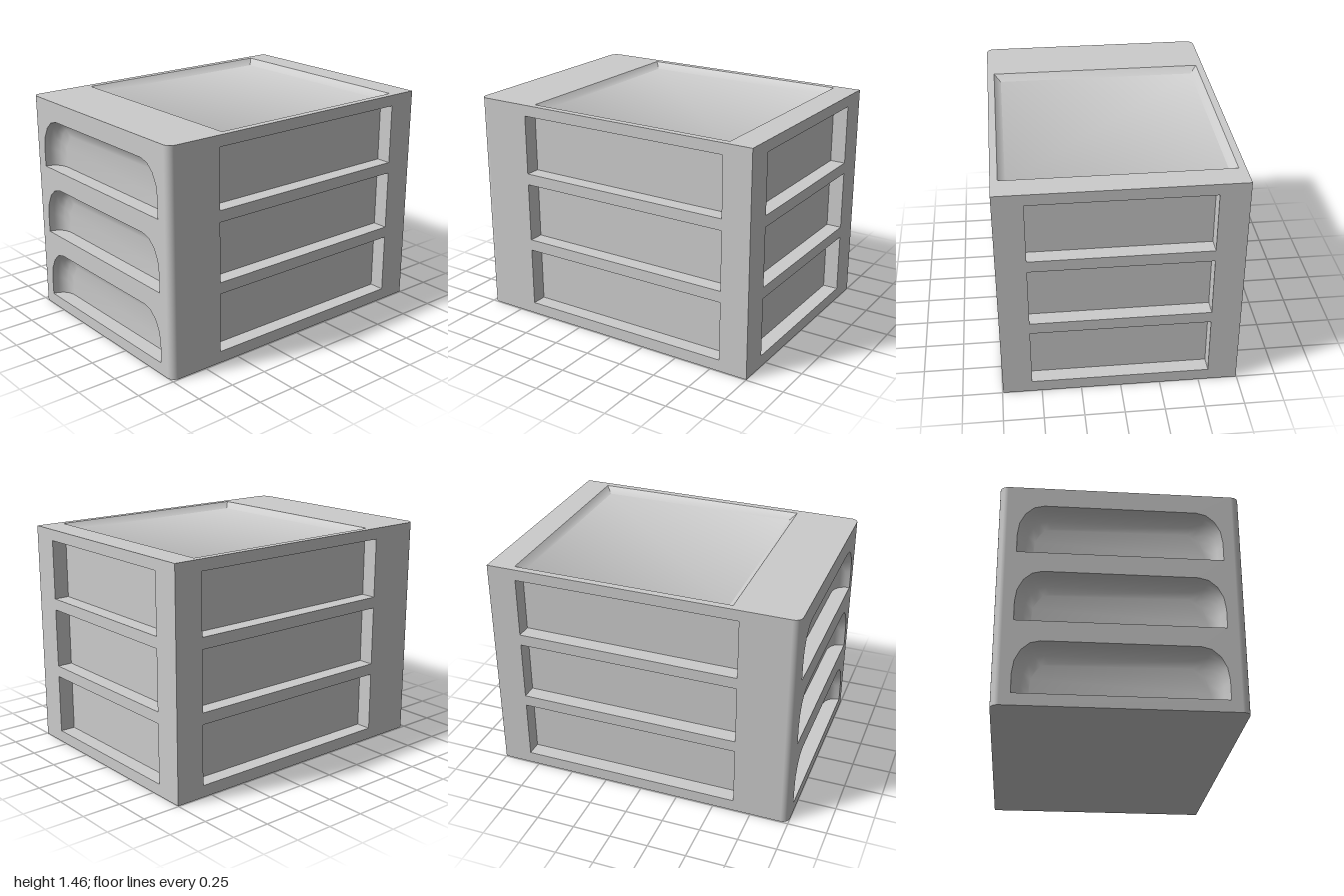
import * as THREE from 'three';
import { mergeGeometries, toCreasedNormals } from 'three/addons/utils/BufferGeometryUtils.js';

const W = 0.745, H = 1.46, R = 0.05; // half width, height, front corner radius
const ROWS = [0.076, 0.538, 1.0];    // bottoms of the three drawer rows
const material = new THREE.MeshStandardMaterial({ color: 0xcccccc });

const rect = (x0, y0, x1, y1) => [[x0, y0], [x1, y0], [x1, y1], [x0, y1]]
  .map(([x, y]) => new THREE.Vector2(x, y));

// Rectangle shrunk on all sides by s
const rectOutline = (x0, y0, x1, y1) => s => rect(x0 + s, y0 + s, x1 - s, y1 - s);

// Drawer grip: flat floor, rounded upper corners; s shrinks sides and top
const gripOutline = y0 => s => {
  const w = 0.63 - s, top = y0 + 0.332 - s, rx = 0.16 - s * 0.5, ry = 0.21 - s * 0.5;
  const pts = [new THREE.Vector2(-w, y0), new THREE.Vector2(w, y0)];
  for (const side of [1, -1]) {
    for (let i = 0; i <= 4; i++) {
      const a = (side > 0 ? i : 4 - i) * Math.PI / 8;
      pts.push(new THREE.Vector2(side * (w - rx + rx * Math.cos(a)), top - ry + ry * Math.sin(a)));
    }
  }
  return pts;
};

// Recess going down -z: walls through the [depth, inset] levels, closed by a flat floor
function recessGeometry(outline, levels) {
  const rings = levels.map(([d, s]) => outline(s).map(p => [p.x, p.y, -d]));
  const pos = [];
  for (let k = 0; k < rings.length - 1; k++) {
    const n = rings[k].length;
    for (let i = 0; i < n; i++) {
      const j = (i + 1) % n;
      const a = rings[k][i], b = rings[k][j], c = rings[k + 1][j], d = rings[k + 1][i];
      pos.push(...a, ...b, ...c, ...a, ...c, ...d);
    }
  }
  const walls = new THREE.BufferGeometry();
  walls.setAttribute('position', new THREE.Float32BufferAttribute(pos, 3));
  const [depth, inset] = levels[levels.length - 1];
  const floor = new THREE.ShapeGeometry(new THREE.Shape(outline(inset))).toNonIndexed();
  floor.translate(0, 0, -depth);
  floor.deleteAttribute('uv');
  floor.deleteAttribute('normal');
  return toCreasedNormals(mergeGeometries([walls, floor]), 0.75);
}

function addMesh(parent, name, geometry) {
  const mesh = new THREE.Mesh(geometry, material);
  mesh.name = name;
  parent.add(mesh);
  return mesh;
}

// Flat panel facing +z with recesses sunk into it
function panel(name, points, outlines, levels, recessName) {
  const group = new THREE.Group();
  group.name = name;
  const shape = new THREE.Shape(points);
  for (const o of outlines) shape.holes.push(new THREE.Path(o(0)));
  addMesh(group, name + 'Face', new THREE.ShapeGeometry(shape));
  for (const o of outlines) addMesh(group, recessName, recessGeometry(o, levels));
  return group;
}

// Plan with rounded front corners; front is at local y = f (1 or -1)
function planPoints(f) {
  const pts = [new THREE.Vector2(-W, -f), new THREE.Vector2(W, -f)];
  for (const side of [1, -1]) {
    for (let i = 0; i <= 6; i++) {
      const a = (side > 0 ? i : 6 - i) * Math.PI / 12;
      pts.push(new THREE.Vector2(side * (W - R + R * Math.cos(a)), f * (1 - R + R * Math.sin(a))));
    }
  }
  return pts;
}

export function createModel() {
  const model = new THREE.Group();
  model.name = 'drawerCabinet';
  const straight = [[0, 0], [0.1, 0]];

  // Front with scooped drawer grips
  const scoop = [[0, 0], [0.035, 0.008], [0.065, 0.026], [0.087, 0.055], [0.1, 0.1]];
  const front = panel('front', rect(-W + R, 0, W - R, H), ROWS.map(gripOutline), scoop, 'drawerGrip');
  front.position.z = 1;
  model.add(front);

  // Back with rectangular recesses
  const back = panel('back', rect(-W, 0, W, H),
    ROWS.map(y => rectOutline(-0.56, y, 0.56, y + 0.388)), straight, 'backRecess');
  back.rotation.y = Math.PI;
  back.position.z = -1;
  model.add(back);

  for (const s of [1, -1]) {
    // Side panels; local x runs along -s * z
    const range = (a, b) => [Math.min(-s * a, -s * b), Math.max(-s * a, -s * b)];
    const [p0, p1] = range(-1, 1 - R), [r0, r1] = range(-0.81, 0.635);
    const side = panel(s > 0 ? 'leftSide' : 'rightSide', rect(p0, 0, p1, H),
      ROWS.map(y => rectOutline(r0, y, r1, y + 0.388)), straight, 'sideRecess');
    side.rotation.y = s * Math.PI / 2;
    side.position.x = s * W;
    model.add(side);

    // Rounded front corner
    const corner = addMesh(model, 'frontCorner',
      new THREE.CylinderGeometry(R, R, H, 6, 1, true, s > 0 ? 0 : -Math.PI / 2, Math.PI / 2));
    corner.position.set(s * (W - R), H / 2, 1 - R);
  }

  // Top with a shallow bevelled tray
  const top = panel('top', planPoints(-1), [rectOutline(-0.7, -0.585, 0.7, 0.83)],
    [[0, 0], [0.04, 0.043]], 'topTray');
  top.rotation.x = -Math.PI / 2;
  top.position.y = H;
  model.add(top);

  // Flat base
  const base = addMesh(model, 'base', new THREE.ShapeGeometry(new THREE.Shape(planPoints(1))));
  base.rotation.x = Math.PI / 2;

  return model;
}
